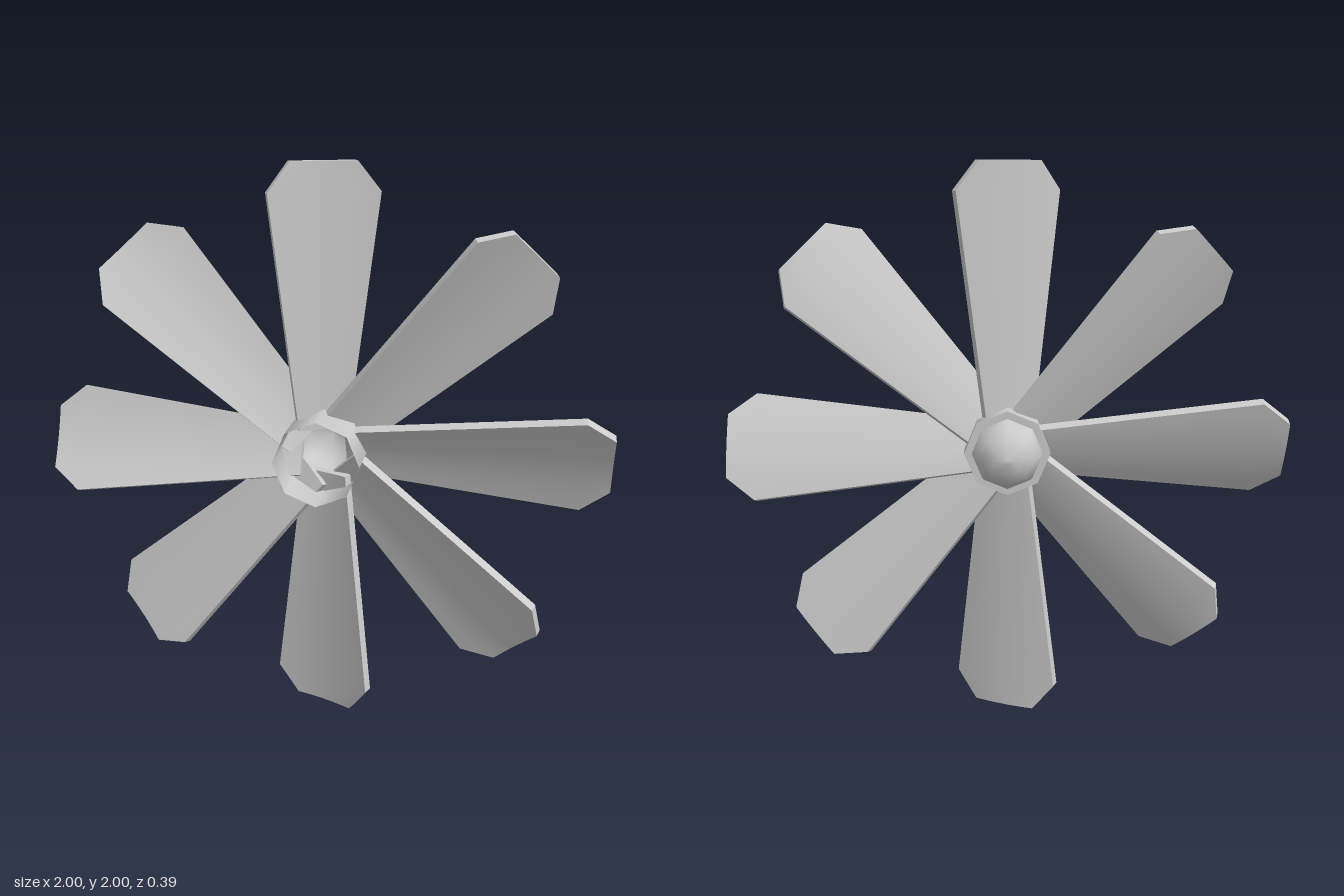
import * as THREE from 'three';
import { toCreasedNormals } from 'three/addons/utils/BufferGeometryUtils.js';

const BLADES = 8;
const PITCH = 0.405;      // blade angle about its own length
const THICKNESS = 0.035;
const CAMBER = 0.02;      // depth of the curve across the blade
const ROWS = [[0.08, 0.09], [0.9, 0.194], [1.0, 0.115]]; // [radius, half width]

// Tapered, cambered and pitched blade pointing up from the origin
function bladeGeometry() {
  const geo = new THREE.BoxGeometry(2, 2, THICKNESS, 8, 2, 1);
  const pos = geo.attributes.position;
  for (let i = 0; i < pos.count; i++) {
    const [radius, half] = ROWS[Math.round(pos.getY(i)) + 1];
    const x = pos.getX(i) * half;
    pos.setXYZ(i, x, radius, pos.getZ(i) + CAMBER * ((x / 0.194) ** 2 - 1));
  }
  geo.rotateY(PITCH);
  geo.translate(0, 0, 0.033);
  return toCreasedNormals(geo, 0.5);
}

// Eight-sided turned shell along z; profile points are [radius, z]
function turned(name, profile, material) {
  const points = profile.map(([r, z]) => new THREE.Vector2(r, -z));
  const mesh = new THREE.Mesh(new THREE.LatheGeometry(points, 8), material);
  mesh.rotation.x = -Math.PI / 2;
  mesh.name = name;
  return mesh;
}

export function createModel() {
  const model = new THREE.Group();
  model.name = 'fan';
  const solid = new THREE.MeshStandardMaterial({ color: 0xcccccc });
  const shell = new THREE.MeshStandardMaterial({ color: 0xcccccc, side: THREE.DoubleSide });

  // Hub: open sleeve, rear shoulder and rounded cap
  const hub = new THREE.Group();
  hub.name = 'hub';
  const dome = [];
  for (let i = 0; i <= 4; i++) {
    const a = (i / 4) * Math.PI / 2;
    dome.push([i === 4 ? 0 : 0.125 * Math.cos(a), -0.075 - 0.12 * Math.sin(a)]);
  }
  hub.add(
    turned('hubSleeve', [[0.152, 0.197], [0.152, -0.075]], shell),
    turned('hubShoulder', [[0.152, -0.075], [0.125, -0.075]], shell),
    turned('hubCap', dome, shell)
  );
  hub.position.y = 1;
  model.add(hub);

  // Blades spaced evenly around the hub
  const geo = bladeGeometry();
  const blades = new THREE.Group();
  blades.name = 'blades';
  blades.position.y = 1;
  for (let i = 0; i < BLADES; i++) {
    const blade = new THREE.Mesh(geo, solid);
    blade.name = 'blade' + (i + 1);
    blade.rotation.z = (i / BLADES) * Math.PI * 2;
    blades.add(blade);
  }
  model.add(blades);
  return model;
}
